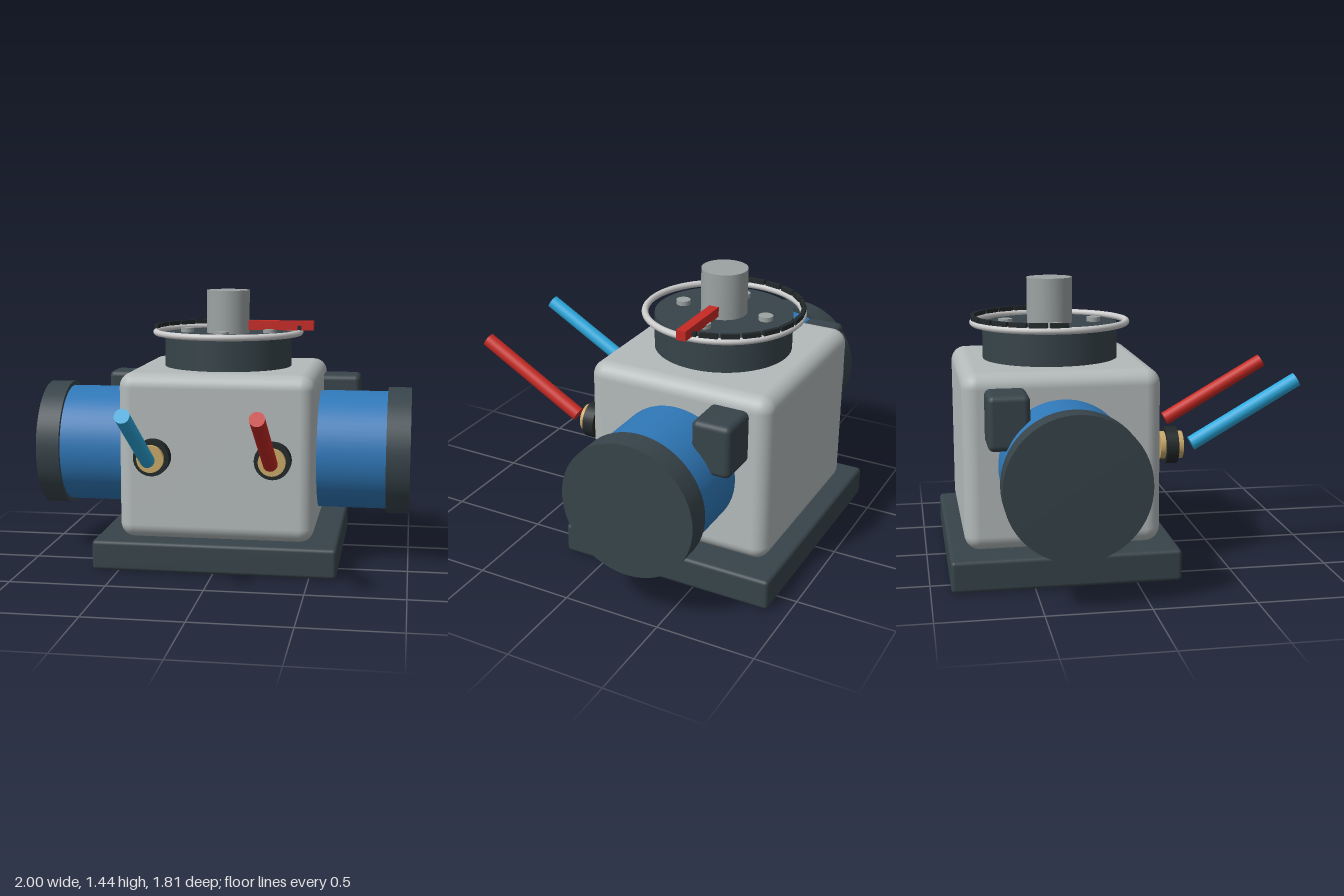
import * as THREE from 'three';
import { RoundedBoxGeometry } from 'three/addons/geometries/RoundedBoxGeometry.js';

const CZ = -0.34; // depth of the housing axis

const mat = (color) => new THREE.MeshStandardMaterial({ color });
const MAT = {
  shell: mat(0xb4baba), dark: mat(0x37444a), black: mat(0x22282a), blue: mat(0x2f78b8),
  brass: mat(0xc8a868), red: mat(0xc62a24), cyan: mat(0x2ba8dc), steel: mat(0x9ca2a3), ring: mat(0xd4d8d8),
};

export function createModel() {
  const model = new THREE.Group();
  model.name = 'valveActuator';

  const add = (name, geometry, material, x, y, z, parent = model) => {
    const mesh = new THREE.Mesh(geometry, material);
    mesh.name = name;
    mesh.position.set(x, y, z);
    parent.add(mesh);
    return mesh;
  };
  const cyl = (r, h, n = 48) => new THREE.CylinderGeometry(r, r, h, n);

  // Base plate and rounded housing
  add('basePlate', new RoundedBoxGeometry(1.28, 0.158, 1.125, 3, 0.02), MAT.dark, 0, 0.079, CZ);
  add('housing', new RoundedBoxGeometry(1.025, 0.875, 0.97, 4, 0.075), MAT.shell, 0, 0.595, CZ);

  // Side cylinders, end caps and sensor boxes, mirrored
  for (const s of [-1, 1]) {
    const side = new THREE.Group();
    side.name = s > 0 ? 'leftCylinder' : 'rightCylinder';
    model.add(side);
    add('barrel', cyl(0.319, 0.44, 64).rotateZ(Math.PI / 2), MAT.blue, s * 0.67, 0.583, CZ, side);
    add('endCap', cyl(0.342, 0.125, 64).rotateZ(Math.PI / 2), MAT.dark, s * 0.9375, 0.583, CZ, side);
    add('sensorBox', new RoundedBoxGeometry(0.25, 0.265, 0.2, 3, 0.03), MAT.dark, s * 0.59, 0.832, -0.62, side);
  }

  // Indicator turret with bolts, stem and pointer
  const turret = new THREE.Group();
  turret.name = 'indicatorTurret';
  turret.position.z = CZ;
  model.add(turret);
  add('turretDrum', cyl(0.345, 0.2, 64), MAT.dark, 0, 1.11, 0, turret);
  add('dialRing', new THREE.TorusGeometry(0.393, 0.017, 12, 72).rotateX(Math.PI / 2), MAT.ring, 0, 1.215, 0, turret);
  add('stem', cyl(0.116, 0.25), MAT.steel, 0, 1.317, 0, turret);
  add('pointer', new THREE.BoxGeometry(0.36, 0.05, 0.05), MAT.red, 0.287, 1.253, 0, turret);
  for (let i = 0; i < 4; i++) {
    const a = (i * Math.PI) / 2;
    add('bolt', cyl(0.036, 0.04, 20), MAT.steel, 0.227 * Math.cos(a), 1.213, 0.227 * Math.sin(a), turret);
  }

  // Scale marks along the rear half of the ring
  for (let i = 0; i <= 12; i++) {
    const a = (i * Math.PI) / 12;
    const mark = add('scaleMark', new THREE.BoxGeometry(0.02, 0.023, 0.09), MAT.black,
      0.393 * Math.cos(a), 1.242, -0.393 * Math.sin(a), turret);
    mark.rotation.y = a;
  }

  // Air ports and slanted hoses
  for (const s of [-1, 1]) {
    const x = s * 0.312;
    const port = new THREE.Group();
    port.name = s > 0 ? 'leftPort' : 'rightPort';
    model.add(port);
    add('fitting', cyl(0.07, 0.117, 32).rotateX(Math.PI / 2), MAT.brass, x, 0.612, 0.227, port);
    add('collar', cyl(0.094, 0.06, 32).rotateX(Math.PI / 2), MAT.black, x, 0.612, 0.226, port);
    const from = new THREE.Vector3(x, 0.614, 0.338);
    const to = new THREE.Vector3(x, 0.927, 0.885);
    const mid = from.clone().add(to).multiplyScalar(0.5);
    const hose = add('hose', cyl(0.037, from.distanceTo(to), 24), s > 0 ? MAT.red : MAT.cyan, mid.x, mid.y, mid.z, port);
    hose.quaternion.setFromUnitVectors(new THREE.Vector3(0, 1, 0), to.sub(from).normalize());
  }

  return model;
}
